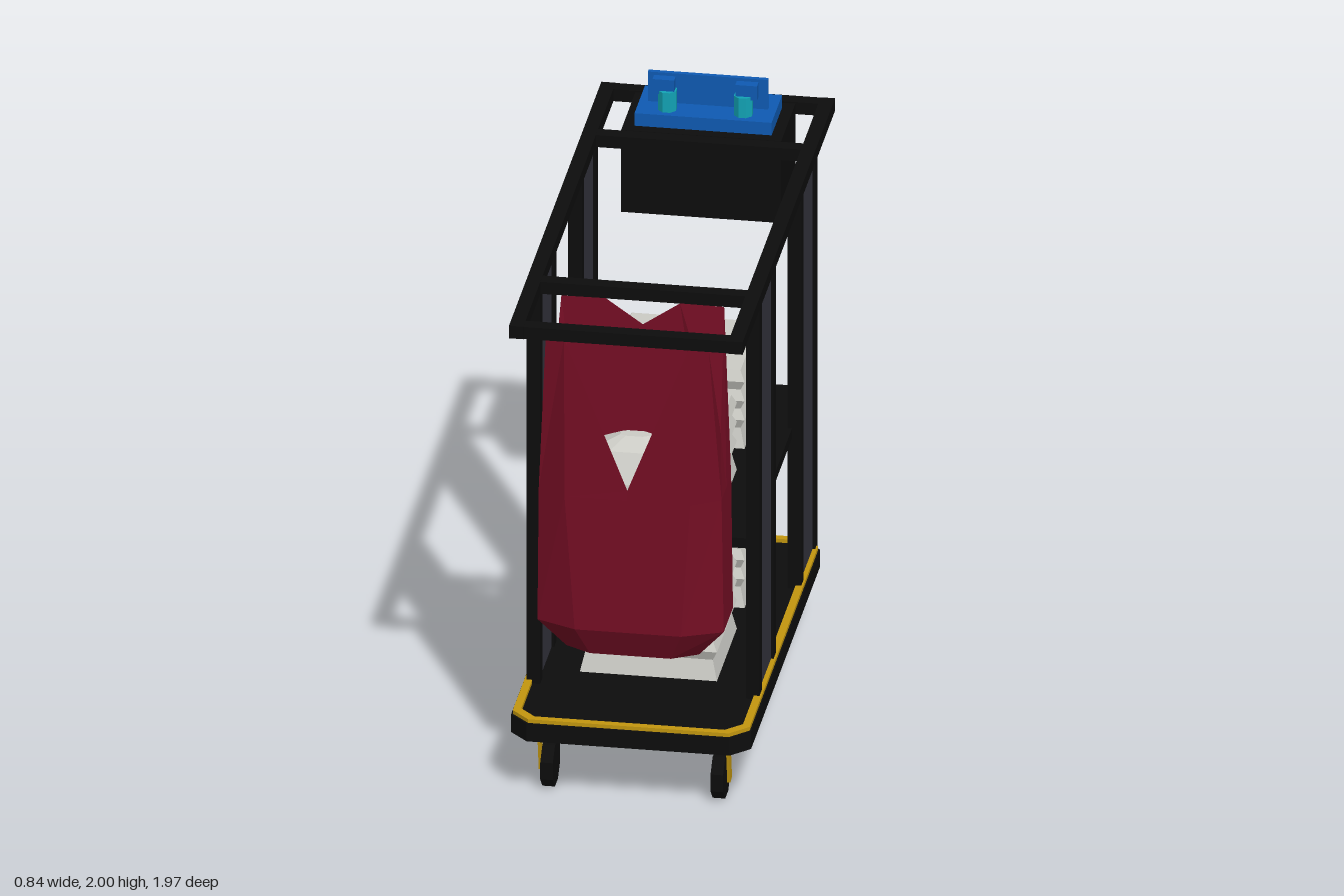
import * as THREE from 'three';

const mat = (name, color, side = THREE.FrontSide) => {
  const m = new THREE.MeshStandardMaterial({ color, side });
  m.name = name;
  return m;
};

// Closed loops of points joined from bottom to top, with flat facets and optional caps.
// Each loop starts at the front (+z) and runs towards +x.
function loft(rings, capBottom, capTop) {
  const pos = [];
  const tri = (...p) => p.forEach((v) => pos.push(...v));
  const middle = (r) => [0, 1, 2].map((k) => r.reduce((s, p) => s + p[k], 0) / r.length);
  const n = rings[0].length;
  for (let r = 0; r < rings.length - 1; r++) {
    for (let i = 0; i < n; i++) {
      const j = (i + 1) % n, a = rings[r], b = rings[r + 1];
      tri(a[i], a[j], b[j]);
      tri(a[i], b[j], b[i]);
    }
  }
  const first = rings[0], last = rings[rings.length - 1];
  for (let i = 0; i < n; i++) {
    const j = (i + 1) % n;
    if (capBottom) tri(middle(first), first[j], first[i]);
    if (capTop) tri(middle(last), last[i], last[j]);
  }
  const g = new THREE.BufferGeometry();
  g.setAttribute('position', new THREE.Float32BufferAttribute(pos, 3));
  g.computeVertexNormals();
  return g;
}

// Mirrors a half loop (front middle ... back middle) across x
const mirrorLoop = (half) => [...half, ...half.slice(1, -1).reverse().map(([x, y, z]) => [-x, y, z])];

// Horizontal loop with cut corners: half width x, back and front z, corner cuts
const cutLoop = (y, x, zb, zf, cx, cz) => mirrorLoop([
  [0, y, zf], [x - cx, y, zf], [x, y, zf - cz], [x, y, (zf + zb) / 2],
  [x, y, zb + cz], [x - cx, y, zb], [0, y, zb],
]);

// Chamfered rectangle outline
function outline(Type, w, d, c) {
  const p = new Type();
  [[w, -d + c], [w, d - c], [w - c, d], [-w + c, d], [-w, d - c], [-w, -d + c], [-w + c, -d], [w - c, -d]]
    .forEach(([x, y], i) => (i ? p.lineTo(x, y) : p.moveTo(x, y)));
  p.closePath();
  return p;
}

export function createModel() {
  const black = mat('black frame', 0x0d0d0d);
  const slate = mat('slate panel', 0x33333d);
  const yellow = mat('yellow trim', 0xc2960f);
  const maroon = mat('maroon cloth', 0x750e24, THREE.DoubleSide);
  const linen = mat('linen', 0xcbcbc5);
  const blue = mat('blue plastic', 0x0f5ab2);
  const teal = mat('teal plastic', 0x12a3b5);

  const cart = new THREE.Group();
  cart.name = 'serviceCart';
  const add = (name, geo, material, x = 0, y = 0, z = 0) => {
    const m = new THREE.Mesh(geo, material);
    m.name = name;
    m.position.set(x, y, z);
    cart.add(m);
    return m;
  };
  // Box given by its limits on each axis
  const box = (name, material, x0, x1, y0, y1, z0, z1) =>
    add(name, new THREE.BoxGeometry(x1 - x0, y1 - y0, z1 - z0), material, (x0 + x1) / 2, (y0 + y1) / 2, (z0 + z1) / 2);

  // Base deck and raised yellow rim
  const slab = (shape, depth) =>
    new THREE.ExtrudeGeometry(shape, { depth, bevelEnabled: false }).rotateX(-Math.PI / 2);
  add('deck', slab(outline(THREE.Shape, 0.42, 0.8, 0.065), 0.068), black, 0, 0.225, 0.14);
  const rim = outline(THREE.Shape, 0.415, 0.794, 0.064);
  rim.holes.push(outline(THREE.Path, 0.388, 0.767, 0.055));
  add('deckRim', slab(rim, 0.016), yellow, 0, 0.291, 0.14);

  // Casters: eight-sided wheels with slanted side plates
  for (const s of [-1, 1]) {
    for (const [z, lean] of [[0.785, 0.2], [-0.505, -0.2]]) {
      const wheel = new THREE.CylinderGeometry(0.0845, 0.0845, 0.044, 8).toNonIndexed();
      wheel.rotateY(Math.PI / 8).rotateZ(Math.PI / 2);
      wheel.computeVertexNormals();
      add('wheel', wheel, black, s * 0.298, 0.078, z);
      const plate = add('casterPlate', new THREE.BoxGeometry(0.011, 0.178, 0.036), yellow, s * 0.33, 0.145, z + lean * 0.08);
      plate.rotation.x = lean;
      box('axle', black, s * 0.32 - 0.006, s * 0.32 + 0.006, 0.066, 0.09, z - 0.012, z + 0.012);
    }
  }

  // Posts, side panels and long top rails
  for (const s of [-1, 1]) {
    for (const z of [0.597, 0.297, -0.295, -0.59]) {
      box('post', black, s * 0.384 - 0.024, s * 0.384 + 0.024, 0.29, 1.8, z - 0.024, z + 0.024);
    }
    for (const z of [0.447, -0.442]) {
      box('sidePanel', slate, s * 0.384 - 0.015, s * 0.384 + 0.015, 0.29, 1.8, z - 0.13, z + 0.13);
    }
    box('topRail', black, s * 0.384 - 0.025, s * 0.384 + 0.025, 1.788, 1.836, -0.986, 0.988);
  }
  for (const z of [0.962, 0.597, -0.59, -0.961]) {
    box('crossRail', black, -0.384, 0.384, 1.789, 1.835, z - 0.025, z + 0.025);
  }
  box('shelf', black, -0.375, 0.375, 0.868, 0.906, -0.612, 0.619);

  // Folded linen stacks with ridged sides
  const ridges = [[0, 0], [0.073, 1], [0.11, 0], [0.146, 1], [0.183, 0], [0.219, 1], [0.256, 0], [0.293, 1]];
  const stack = loft(ridges.map(([y, tuck]) => {
    const x = 0.24 - tuck * 0.017, z = 0.214 - tuck * 0.017;
    return [[-x, y, z], [x, y, z], [x, y, -z], [-x, y, -z]];
  }), true, true);
  for (const y of [0.296, 0.905]) {
    for (const z of [0.293, -0.299]) add('linenStack', stack, linen, 0, y, z);
  }

  // Hanging laundry bag, scooped at the front, sides and back
  const bagRings = [
    cutLoop(0.556, 0.232, 0.67, 0.89, 0.09, 0.05),
    cutLoop(0.67, 0.326, 0.628, 0.946, 0.14, 0.06),
    cutLoop(1.18, 0.32, 0.63, 0.955, 0.1, 0.06),
    mirrorLoop([
      [0, 1.22, 0.955], [0.22, 1.79, 0.965], [0.285, 1.79, 0.96], [0.3, 1.385, 0.79],
      [0.285, 1.79, 0.625], [0.13, 1.79, 0.622], [0, 1.7, 0.622],
    ]),
  ];
  add('laundryBag', loft(bagRings, true, false), maroon);

  // Crumpled heap inside the bag
  add('laundryHeap', loft([
    cutLoop(1.12, 0.29, 0.637, 0.93, 0.05, 0.05),
    cutLoop(1.22, 0.27, 0.655, 0.915, 0.06, 0.05),
    cutLoop(1.32, 0.13, 0.715, 0.86, 0.05, 0.03),
    cutLoop(1.36, 0.05, 0.765, 0.81, 0.02, 0.01),
  ], false, true), linen);

  // Rear bin with its blue caddy
  box('rearBin', black, -0.28, 0.28, 1.52, 1.834, -0.925, -0.622);
  box('caddyTray', blue, -0.24, 0.24, 1.83, 1.882, -0.888, -0.662);
  box('caddyBack', blue, -0.21, 0.21, 1.88, 1.995, -0.782, -0.765);
  for (const s of [-1, 1]) {
    const bottle = new THREE.CylinderGeometry(0.034, 0.034, 0.08, 8).toNonIndexed();
    bottle.rotateY(Math.PI / 8);
    bottle.computeVertexNormals();
    add('sprayBottle', bottle, teal, s * 0.133, 1.917, -0.715);
    box('sprayHead', blue, s * 0.145 - 0.038, s * 0.145 + 0.038, 1.945, 2, -0.732, -0.698);
  }
  return cart;
}
